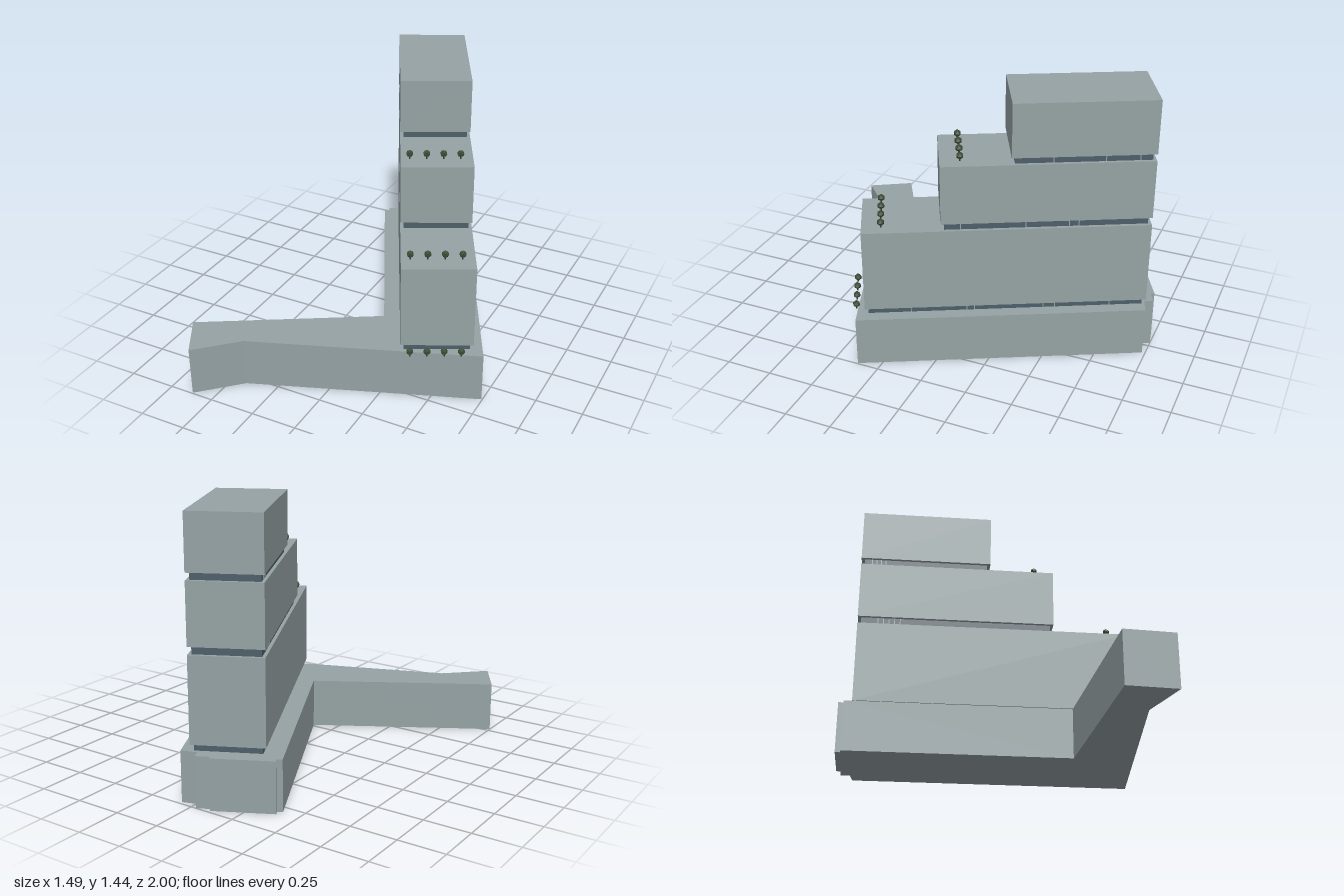
import * as THREE from 'three';

const mat = (name, color) => {
  const m = new THREE.MeshStandardMaterial({ color });
  m.name = name;
  return m;
};

export function createModel() {
  const concrete = mat('pale concrete', 0x95a2a4);
  const glass = mat('dark glazing', 0x4d5f69);
  const frame = mat('window frame', 0x98a5a9);
  const leaf = mat('foliage', 0x3c4a35);
  const bark = mat('bark', 0x40382c);

  const model = new THREE.Group();
  model.name = 'steppedBuilding';

  const add = (parent, name, geometry, material, x = 0, y = 0, z = 0) => {
    const mesh = new THREE.Mesh(geometry, material);
    mesh.name = name;
    mesh.position.set(x, y, z);
    parent.add(mesh);
    return mesh;
  };

  // Angled podium with a long wing and a notched back end, outline in x, z
  const outline = [
    [0.745, 0.368], [-0.415, 0.8], [-0.62, 0.995], [-0.748, 0.775], [0.13, 0.265],
    [-0.403, -0.8], [-0.376, -0.815], [-0.39, -0.838], [-0.105, -0.985], [-0.094, -0.967],
    [-0.03, -1.0], [-0.01, -0.955], [0.072, -0.983],
  ];
  const shape = new THREE.Shape(outline.map(([x, z]) => new THREE.Vector2(x, -z)));
  const podium = new THREE.ExtrudeGeometry(shape, { depth: 0.27, bevelEnabled: false });
  podium.rotateX(-Math.PI / 2);
  add(model, 'podium', podium, concrete);

  // Tower frame: origin at the middle of the back wall, +z runs to its front
  const tower = new THREE.Group();
  tower.name = 'tower';
  tower.position.set(-0.1425, 0, -0.8865);
  tower.rotation.y = 0.4627;
  model.add(tower);

  const width = 0.374, inset = 0.018;
  const tiers = [
    { floor: 0.27, bottom: 0.305, top: 0.755, length: 1.47, treeZ: 1.515,
      right: [0.19, 0.48, 0.54, 0.9, 0.94, 1.23], left: [0.18, 0.22, 0.26, 0.3, 0.34, 0.38] },
    { floor: 0.755, bottom: 0.795, top: 1.115, length: 1.07, treeZ: 1.37,
      right: [0.37, 0.42, 0.64, 0.97], left: [0.11, 0.14, 0.17, 0.2, 0.23] },
    { floor: 1.115, bottom: 1.152, top: 1.44, length: 0.718, treeZ: 0.968,
      right: [0.08, 0.25, 0.51, 0.81], left: [0.06, 0.085, 0.11, 0.135] },
  ];

  // Small faceted shrub on a short stem
  const crownGeo = new THREE.IcosahedronGeometry(0.02, 0);
  const stemGeo = new THREE.CylinderGeometry(0.004, 0.004, 0.02, 6);
  const addTree = (x, y, z) => {
    const tree = new THREE.Group();
    tree.name = 'shrub';
    tree.position.set(x, y, z);
    add(tree, 'stem', stemGeo, bark, 0, 0.01, 0);
    add(tree, 'crown', crownGeo, leaf, 0, 0.029, 0);
    tower.add(tree);
  };

  tiers.forEach((t, i) => {
    const h = t.top - t.bottom, gap = t.bottom - t.floor;
    add(tower, 'block' + (i + 1), new THREE.BoxGeometry(width, h, t.length), concrete,
      0, t.bottom + h / 2, t.length / 2);

    // Recessed glazed band beneath the block
    add(tower, 'glazedBand' + (i + 1),
      new THREE.BoxGeometry(width - 2 * inset, gap, t.length - 2 * inset), glass,
      0, t.floor + gap / 2, t.length / 2);

    // Thin upright frames on the two long walls
    const bar = new THREE.BoxGeometry(0.003, gap, 0.005);
    for (const [side, list] of [[1, t.right], [-1, t.left]]) {
      for (const z of list) {
        if (z < t.length - inset) {
          add(tower, 'mullion', bar, frame, side * (width / 2 - inset), t.floor + gap / 2, z);
        }
      }
    }

    // Row of four shrubs along the terrace edge
    for (let k = 0; k < 4; k++) addTree(-0.009 + (k - 1.5) * 0.0872, t.floor, t.treeZ);
  });

  return model;
}
